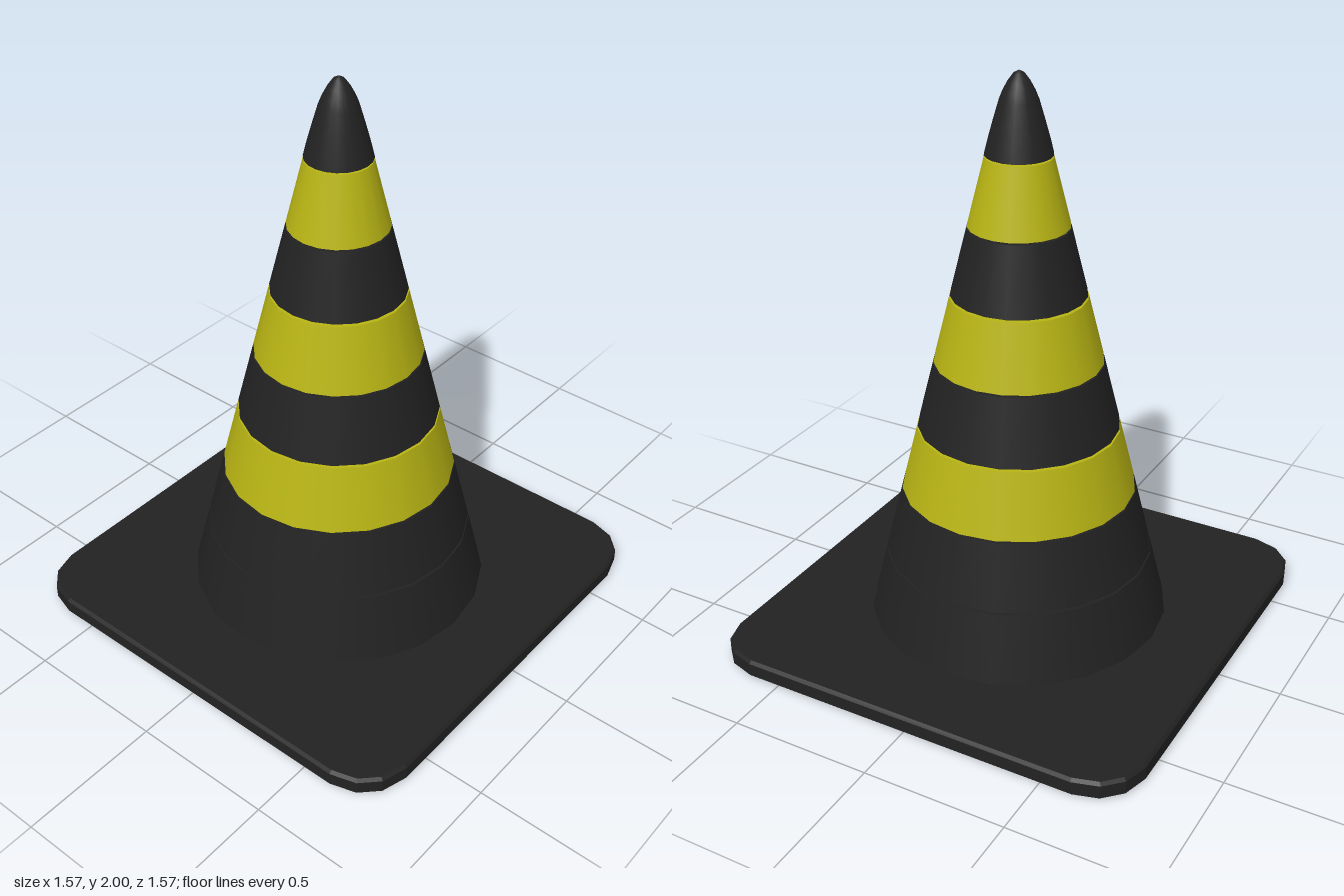
import * as THREE from 'three';

const SIDES = 20;
const black = new THREE.MeshStandardMaterial({ color: 0x222222 });
const yellow = new THREE.MeshStandardMaterial({ color: 0xb8b414 });

export function createModel() {
  const group = new THREE.Group();
  const add = (name, geometry, material, y = 0) => {
    const mesh = new THREE.Mesh(geometry, material);
    mesh.name = name;
    mesh.position.y = y;
    group.add(mesh);
    return mesh;
  };

  // Square foot plate with faceted corners and a slight bevel
  const bevel = 0.01;
  const corner = [[0.785, 0.62], [0.76, 0.705], [0.705, 0.76], [0.62, 0.785]];
  const outline = [];
  for (let q = 0; q < 4; q++) {
    for (const [x, y] of corner) {
      const p = new THREE.Vector2(x - bevel, y - bevel);
      outline.push(p.rotateAround(new THREE.Vector2(), q * Math.PI / 2));
    }
  }
  const plate = new THREE.ExtrudeGeometry(new THREE.Shape(outline), {
    depth: 0.065 - 2 * bevel, bevelEnabled: true,
    bevelSize: bevel, bevelThickness: bevel, bevelSegments: 1,
  });
  plate.rotateX(-Math.PI / 2);
  add('basePlate', plate, black, bevel);

  // Stacked bands, separated by narrow grooves: [bottom y, top y, material]
  const radiusAt = (y) => 0.525 - (y - 0.065) * 0.249;
  const bands = [
    [0.06, 0.301, black], [0.309, 0.541, black], [0.547, 0.775, yellow],
    [0.783, 1.014, black], [1.02, 1.249, yellow], [1.257, 1.487, black],
    [1.493, 1.724, yellow],
  ];
  bands.forEach(([y0, y1, material], i) => {
    const geometry = new THREE.CylinderGeometry(radiusAt(y1), radiusAt(y0), y1 - y0, SIDES);
    add('band' + (i + 1), geometry, material, (y0 + y1) / 2);
  });

  // Inner core seen at the bottom of the grooves
  const core = new THREE.CylinderGeometry(radiusAt(1.74) - 0.018, radiusAt(0.06) - 0.018, 1.68, SIDES);
  add('core', core, black, 0.9);

  // Rounded tip
  const tip = [[0.112, 1.73], [0.101, 1.775], [0.083, 1.84], [0.064, 1.905],
    [0.052, 1.935], [0.036, 1.965], [0.018, 1.99], [0, 2]];
  add('tip', new THREE.LatheGeometry(tip.map(([r, y]) => new THREE.Vector2(r, y)), SIDES), black);
  const underside = new THREE.CircleGeometry(0.112, SIDES);
  underside.rotateX(Math.PI / 2);
  add('tipUnderside', underside, black, 1.73);

  return group;
}
